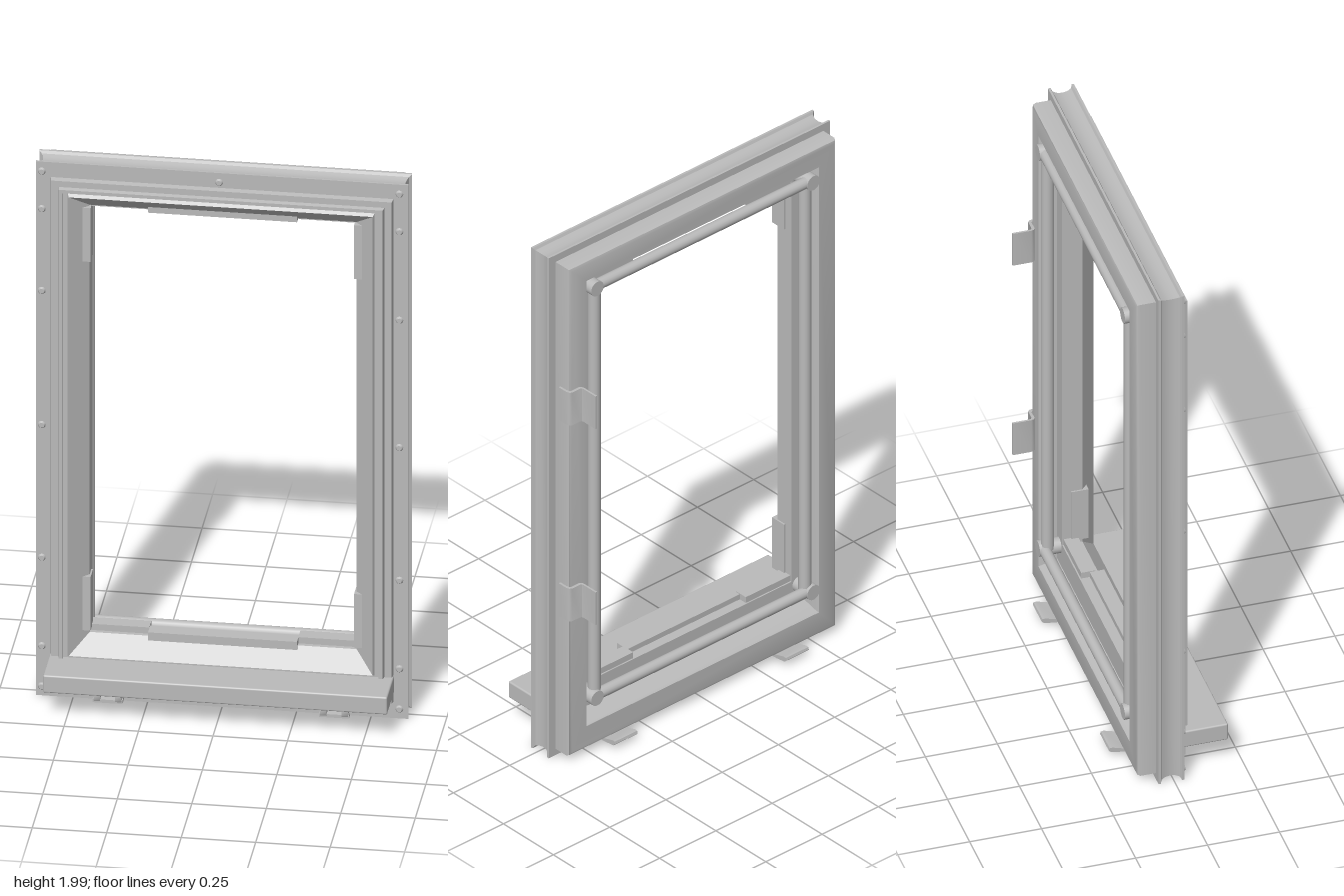
import * as THREE from 'three';
import { toCreasedNormals } from 'three/addons/utils/BufferGeometryUtils.js';
import { RoundedBoxGeometry } from 'three/addons/geometries/RoundedBoxGeometry.js';

const grey = new THREE.MeshStandardMaterial({ color: 0xbababa });
grey.name = 'painted grey metal';

function add(parent, name, geometry, x = 0, y = 0, z = 0) {
  const mesh = new THREE.Mesh(geometry, grey);
  mesh.name = name;
  mesh.position.set(x, y, z);
  parent.add(mesh);
  return mesh;
}

// Mitred rectangular ring; each profile point is [half width, bottom, top, z],
// running from the outer front inwards and round the back.
function mitredRing(profile) {
  const loops = profile.map(([x, b, t, z]) => [[-x, b, z], [x, b, z], [x, t, z], [-x, t, z]]);
  const pos = [];
  loops.forEach((loop, i) => {
    const next = loops[(i + 1) % loops.length];
    for (let j = 0; j < 4; j++) {
      const k = (j + 1) % 4;
      const a = loop[j], b = loop[k], c = next[k], d = next[j];
      pos.push(...a, ...b, ...c, ...a, ...c, ...d);
    }
  });
  const g = new THREE.BufferGeometry();
  g.setAttribute('position', new THREE.Float32BufferAttribute(pos, 3));
  return toCreasedNormals(g, 0.7);
}

const extrude = (points, depth) => toCreasedNormals(new THREE.ExtrudeGeometry(
  new THREE.Shape(points.map(([u, v]) => new THREE.Vector2(u, v))),
  { depth, bevelEnabled: false }).translate(0, 0, -depth / 2), 0.7);

// Profile in (z, y), extruded across x
const acrossX = (points, width) => extrude(points, width).rotateY(-Math.PI / 2);
// Profile in (x, -z), extruded up y
const upY = (points, height) => extrude(points, height).rotateX(-Math.PI / 2);

export function createModel() {
  const model = new THREE.Group();
  model.name = 'windowFrame';

  // Main frame: flanges, hollow outer groove, stepped front, bevelled reveal, back casing
  add(model, 'frame', mitredRing([
    [0.625, 0.01, 2.0, 0.035],
    [0.575, 0.07, 1.945, 0.035],
    [0.572, 0.073, 1.942, 0.055],
    [0.547, 0.1, 1.92, 0.055],
    [0.544, 0.103, 1.917, 0.07],
    [0.53, 0.12, 1.905, 0.07],
    [0.53, 0.12, 1.905, 0.058],
    [0.515, 0.175, 1.9, 0.058],
    [0.51, 0.18, 1.89, 0.068],
    [0.448, 0.245, 1.838, 0.01],
    [0.448, 0.245, 1.838, -0.06],
    [0.505, 0.15, 1.885, -0.06],
    [0.51, 0.13, 1.89, -0.115],
    [0.516, 0.124, 1.896, -0.122],
    [0.582, 0.048, 1.96, -0.122],
    [0.591, 0.039, 1.969, -0.118],
    [0.595, 0.035, 1.973, -0.109],
    [0.595, 0.035, 1.973, -0.055],
    [0.625, 0.01, 2.0, -0.055],
    [0.625, 0.01, 2.0, -0.047],
    [0.616, 0.019, 1.991, -0.042],
    [0.611, 0.024, 1.986, -0.028],
    [0.609, 0.026, 1.984, -0.01],
    [0.611, 0.024, 1.986, 0.008],
    [0.616, 0.019, 1.991, 0.022],
    [0.625, 0.01, 2.0, 0.027],
  ]));

  // Seal strips lining the opening, thicker towards the corners
  const seals = new THREE.Group();
  seals.name = 'seals';
  model.add(seals);
  for (const [y, h] of [[0.25, 0.03], [1.843, 0.026]]) {
    add(seals, 'centreSeal', new THREE.BoxGeometry(0.5, h, 0.05), 0, y, 0);
    for (const s of [-1, 1])
      add(seals, 'cornerSeal', new THREE.BoxGeometry(0.2, h + 0.006, 0.05), s * 0.35, y, -0.03);
  }
  for (const s of [-1, 1]) for (const y of [0.36, 1.735])
    add(seals, 'sideSeal', new THREE.BoxGeometry(0.04, 0.2, 0.06), s * 0.462, y, 0);

  // Rear clamping rods with corner knobs
  const rods = new THREE.Group();
  rods.name = 'rearRods';
  model.add(rods);
  for (const s of [-1, 1]) {
    add(rods, 'sideRod', new THREE.CylinderGeometry(0.022, 0.022, 1.62, 16), s * 0.468, 1.04, -0.105);
    for (const y of [0.225, 1.855])
      add(rods, 'cornerKnob', new THREE.CylinderGeometry(0.028, 0.028, 0.075, 20).rotateX(Math.PI / 2),
        s * 0.48, y, -0.098);
  }
  for (const y of [0.225, 1.855])
    add(rods, 'crossRod', new THREE.CylinderGeometry(0.02, 0.02, 0.96, 16).rotateZ(Math.PI / 2), 0, y, -0.115);

  // Sill
  add(model, 'sill', new RoundedBoxGeometry(1.155, 0.065, 0.17, 3, 0.006), 0, 0.1375, 0.117);

  // Bottom brackets: clevis in front, sloping arm to the sill, strap under the frame
  for (const x of [-0.38, 0.38]) {
    const bracket = new THREE.Group();
    bracket.name = 'bottomBracket';
    bracket.position.x = x;
    model.add(bracket);
    for (const s of [-1, 1])
      add(bracket, 'clevisPlate', acrossX([[0.03, 0.01], [0.06, 0.01], [0.07, 0.025], [0.07, 0.05],
        [0.05, 0.1], [0.03, 0.1]], 0.022), s * 0.036);
    add(bracket, 'arm', acrossX([[0.04, 0.068], [0.165, 0.096], [0.165, 0.108], [0.04, 0.08]], 0.094));
    add(bracket, 'pin', new THREE.CylinderGeometry(0.01, 0.01, 0.105, 12).rotateZ(Math.PI / 2), 0, 0.045, 0.05);
    add(bracket, 'lug', new THREE.BoxGeometry(0.03, 0.05, 0.025), 0, 0.06, 0.045);
    add(bracket, 'strap', acrossX([[0.065, 0.012], [-0.12, 0.022], [-0.16, 0.028], [-0.168, 0.036],
      [-0.165, 0.045], [-0.155, 0.046], [-0.115, 0.034], [0.065, 0.024]], 0.1));
  }

  // Hooked latches on the left edge
  for (const y of [0.645, 1.425])
    add(model, 'latch', upY([[0.542, 0.203], [0.542, 0.138], [0.545, 0.129], [0.552, 0.124], [0.586, 0.124],
      [0.592, 0.12], [0.594, 0.113], [0.594, 0.08], [0.603, 0.08], [0.603, 0.118], [0.6, 0.128],
      [0.592, 0.134], [0.556, 0.134], [0.551, 0.137], [0.549, 0.143], [0.549, 0.203]], 0.13), 0, y, 0);

  // Screws round the front flange
  const screws = [[-0.01, 1.965], [-0.465, 0.045], [-0.295, 0.045], [0.02, 0.045], [0.49, 0.045]];
  for (const y of [0.045, 0.195, 0.525, 1.02, 1.52, 1.825, 1.965])
    screws.push([-0.605, y], [0.595, y === 1.52 ? 1.495 : y]);
  const screwHead = new THREE.CylinderGeometry(0.009, 0.014, 0.008, 12).rotateX(Math.PI / 2);
  for (const [x, y] of screws) add(model, 'screw', screwHead, x, y, 0.038);

  return model;
}
